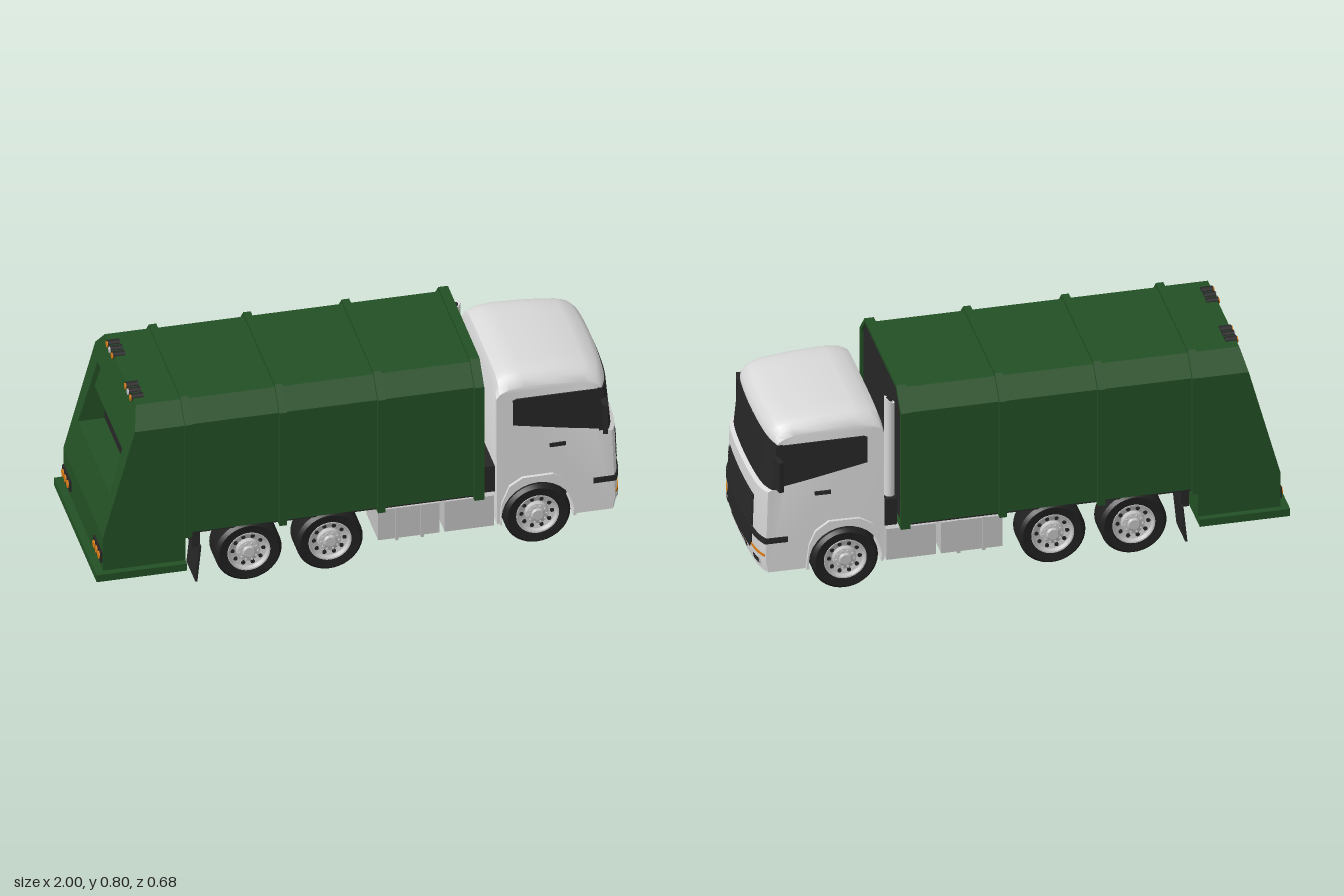
import * as THREE from 'three';
import { toCreasedNormals } from 'three/addons/utils/BufferGeometryUtils.js';

const mat = (name, color) => Object.assign(new THREE.MeshStandardMaterial({ color }), { name });

export function createModel() {
  const truck = new THREE.Group();
  truck.name = 'refuseTruck';
  const green = mat('bodyGreen', 0x235024), paint = mat('cabPaint', 0xd8d8d8), dark = mat('darkPlastic', 0x262626);
  const rubber = mat('tyreRubber', 0x202020), metal = mat('bareMetal', 0xc2c2c2), amber = mat('amberLamp', 0xd67a12);

  const add = (name, geo, m, parent = truck) => {
    const mesh = new THREE.Mesh(geo, m);
    mesh.name = name;
    parent.add(mesh);
    return mesh;
  };
  // box given by its min and max on each axis
  const box = (name, m, x0, x1, y0, y1, z0, z1) => add(name,
    new THREE.BoxGeometry(x1 - x0, y1 - y0, z1 - z0).translate((x0 + x1) / 2, (y0 + y1) / 2, (z0 + z1) / 2), m);
  const boxPair = (name, m, x0, x1, y0, y1, z0, z1) => {
    box(name + 'Left', m, x0, x1, y0, y1, -z1, -z0);
    box(name + 'Right', m, x0, x1, y0, y1, z0, z1);
  };
  const poly = pts => pts.map(p => new THREE.Vector2(...p));

  // ---- Refuse body: chamfered sections extruded along x ----
  const section = (w, y0, yc, y1, wt) => poly([[-w, y0], [w, y0], [w, yc], [wt, y1], [-wt, y1], [-w, yc]]);
  const alongX = (outer, x0, x1, hole) => {
    const s = new THREE.Shape(outer);
    if (hole) s.holes.push(new THREE.Path(hole));
    return new THREE.ExtrudeGeometry(s, { depth: x1 - x0, bevelEnabled: false }).rotateY(Math.PI / 2).translate(x0, 0, 0);
  };
  const inner = section(0.308, 0.245, 0.715, 0.787, 0.244);
  const outer = section(0.324, 0.232, 0.722, 0.802, 0.25);
  add('refuseBody', alongX(inner, -0.67, 0.43), green);
  for (const x of [-0.65, -0.295, 0.075]) add('bodyRib', alongX(outer, x - 0.014, x + 0.014), green);
  add('frontFrame', alongX(outer, 0.424, 0.46, inner), green);
  add('frontBulkhead', alongX(inner, 0.43, 0.45), dark);

  // ---- Tailgate with sloping back and hopper opening ----
  const slope = y => -0.83 - (0.79 - y) * 0.27;
  const slopeBack = (geo, thickness) => {
    const p = geo.attributes.position;
    for (let i = 0; i < p.count; i++)
      p.setX(i, p.getX(i) < 0.5 ? slope(p.getY(i)) : thickness ? slope(p.getY(i)) + thickness : -0.66);
    geo.computeVertexNormals();
    return geo;
  };
  const opening = poly([[-0.25, 0.42], [0.25, 0.42], [0.235, 0.68], [-0.235, 0.68]]);
  add('tailgate', slopeBack(alongX(section(0.313, 0.27, 0.715, 0.788, 0.245), 0, 1, opening)), green);
  const flap = poly([[-0.25, 0.57], [0.25, 0.57], [0.25, 0.69], [-0.25, 0.69]]);
  add('hopperFlap', slopeBack(alongX(flap, 0, 1), 0.04).translate(0.02, 0, 0), green);
  box('hopperInside', dark, -0.83, -0.7, 0.4, 0.69, -0.26, 0.26);
  box('tailgateBase', green, -0.97, -0.66, 0.12, 0.27, -0.313, 0.313);
  box('rearStep', green, -1, -0.66, 0.1, 0.13, -0.338, 0.338);
  box('rearStepUnderside', dark, -0.99, -0.67, 0.097, 0.1, -0.33, 0.33);
  const lamp = (name, x, y, z, r, len, m) =>
    add(name, new THREE.CylinderGeometry(r, r, len, 16).rotateZ(Math.PI / 2).translate(x, y, z), m);
  for (const s of [-1, 1]) {
    box('tailLampHousing', dark, -0.977, -0.965, 0.16, 0.205, s * 0.245 - 0.06, s * 0.245 + 0.06);
    for (let i = -1; i <= 1; i++) lamp('tailLamp', -0.978, 0.182, s * 0.245 + i * 0.038, 0.015, 0.008, amber);
    for (const [z, m] of [[0.105, amber], [0.145, metal], [0.185, amber]]) {
      lamp('workLampHousing', -0.812, 0.783, s * z, 0.016, 0.045, dark);
      lamp('workLamp', -0.836, 0.783, s * z, 0.012, 0.006, m);
    }
  }

  // ---- Chassis ----
  boxPair('chassisRail', dark, -0.68, 0.9, 0.17, 0.25, 0.08, 0.1);
  box('subframe', dark, -0.62, 0.07, 0.17, 0.25, -0.18, 0.18);
  box('bodyFloor', dark, -0.66, 0.44, 0.235, 0.246, -0.3, 0.3);
  for (const x of [0.16, 0.3, 0.49]) box('crossMember', dark, x - 0.015, x + 0.015, 0.18, 0.23, -0.1, 0.1);
  boxPair('cabMount', dark, 0.46, 0.52, 0.22, 0.33, 0.1, 0.26);
  box('mudflapBracket', dark, -0.63, -0.6, 0.165, 0.25, -0.29, 0.29);
  for (const s of [-1, 1]) {
    const f = add('mudflap', new THREE.BoxGeometry(0.008, 0.15, 0.14), dark);
    f.position.set(-0.61, 0.1, s * 0.235);
    f.rotation.z = -0.1;
    // Side tanks with straps
    const tank = (x0, x1, straps) => {
      box('sideTank', metal, x0, x1, 0.09, 0.22, s * 0.195 - 0.092, s * 0.195 + 0.092);
      for (const x of straps) box('tankStrap', metal, x - 0.006, x + 0.006, 0.084, 0.224, s * 0.195 - 0.096, s * 0.195 + 0.098);
    };
    tank(0.07, 0.3, [0.14, 0.235]);
    tank(0.32, 0.505, []);
  }
  // Exhaust stack with slanted top
  const pipe = new THREE.CylinderGeometry(0.02, 0.02, 0.5, 20).translate(0.48, 0.48, -0.223);
  const pp = pipe.attributes.position;
  for (let i = 0; i < pp.count; i++) if (pp.getY(i) > 0.5) pp.setY(i, 0.73 + (pp.getX(i) - 0.48) * 0.7);
  add('exhaustStack', pipe, paint);
  add('exhaustMouth', new THREE.CylinderGeometry(0.014, 0.014, 0.004, 16).rotateZ(0.61).translate(0.48, 0.731, -0.223), dark);

  // ---- Wheels ----
  const lathe = pts => toCreasedNormals(new THREE.LatheGeometry(poly(pts), 40).rotateX(Math.PI / 2), 0.5);
  const disc = (r, len, x, y, z) => new THREE.CylinderGeometry(r, r, len, 10).rotateX(Math.PI / 2).translate(x, y, z);
  const tyre = lathe([[0.08, -0.055], [0.113, -0.06], [0.125, -0.046], [0.125, 0.046], [0.113, 0.06], [0.08, 0.055]]);
  const rim = lathe([[0.082, 0.05], [0.08, 0.058], [0.075, 0.057], [0.069, 0.043], [0.045, 0.035], [0.042, 0.052], [0.025, 0.056], [0.02, 0.064], [0, 0.064]]);
  for (const x of [-0.42, -0.115, 0.665]) {
    add('axle', disc(0.025, 0.4, x, 0.126, 0), dark);
    if (x < 0.5) add('differential', new THREE.SphereGeometry(0.06, 16, 12).translate(x, 0.135, 0), dark);
    for (const s of [-1, 1]) {
      const w = new THREE.Group();
      w.name = 'wheel';
      w.position.set(x, 0.127, s * 0.25);
      if (s < 0) w.rotation.y = Math.PI;
      truck.add(w);
      add('tyre', tyre, rubber, w);
      add('wheelInside', disc(0.083, 0.06, 0, 0, -0.02), dark, w);
      add('rim', rim, metal, w);
      for (let i = 0; i < 10; i++) {
        const a = i * Math.PI / 5, c = Math.cos(a), d = Math.sin(a);
        add('rimHole', disc(0.008, 0.008, c * 0.058, d * 0.058, 0.038), dark, w);
        add('wheelNut', disc(0.004, 0.01, c * 0.034, d * 0.034, 0.056), metal, w);
      }
    }
  }

  // ---- Cab: side profiles extruded across z, then tapered, bowed and rounded ----
  const ss = THREE.MathUtils.smoothstep;
  const cabPart = (name, m, pts, z0, z1, steps = 32) => {
    const g = new THREE.ExtrudeGeometry(new THREE.Shape(poly(pts)), { depth: z1 - z0, steps, bevelEnabled: false }).translate(0, 0, z0);
    const p = g.attributes.position;
    for (let i = 0; i < p.count; i++) {
      const x = p.getX(i), y = p.getY(i), z = p.getZ(i), t = Math.min(1, Math.abs(z) / 0.29);
      p.setXYZ(i,
        x - ss(x, 0.82, 0.95) * (0.015 * t ** 2 + 0.02 * t ** 8),
        y - ss(y, 0.6, 0.72) * (0.015 * t ** 4 + 0.04 * t ** 12),
        z * (1 - 0.05 * (x - 0.51) - 0.09 * (y - 0.4)));
    }
    g.computeVertexNormals();
    return add(name, toCreasedNormals(g, 0.6), m);
  };
  const arch = [];
  for (let i = 0; i <= 16; i++) {
    const a = Math.PI * (1.06 - 1.12 * i / 16);
    arch.push([0.665 + 0.137 * Math.cos(a), 0.127 + 0.137 * Math.sin(a)]);
  }
  cabPart('cabShell', paint, [[0.515, 0.1], ...arch, [0.985, 0.1], [0.995, 0.15], [0.985, 0.433], [0.966, 0.442],
    [0.947, 0.64], [0.94, 0.668], [0.915, 0.694], [0.86, 0.71], [0.75, 0.722], [0.62, 0.727], [0.56, 0.72], [0.528, 0.7], [0.515, 0.66]], -0.29, 0.29);
  box('cabUnderside', dark, 0.53, 0.95, 0.096, 0.3, -0.185, 0.185);
  box('bumperUnderside', dark, 0.82, 0.95, 0.096, 0.12, -0.27, 0.27);
  cabPart('windscreen', dark, [[0.935, 0.442], [0.97, 0.442], [0.952, 0.635], [0.925, 0.635]], -0.2915, 0.2915);

  // Bands that follow the curved front
  const fx = y => 0.995 - Math.max(0, y - 0.15) * 0.035 - Math.max(0, 0.15 - y) * 0.2;
  const band = (name, m, y0, y1, z0, z1, off = 0.003, deep = 0.02, steps = 16) => cabPart(name, m,
    [[fx(y0) - deep, y0], [fx(y0) + off, y0], [fx(y1) + off, y1], [fx(y1) - deep, y1]], z0, z1, steps);
  band('grille', dark, 0.245, 0.375, -0.19, 0.19, 0.002);
  for (let i = 0; i < 8; i++) band('grilleSlat', dark, 0.252 + i * 0.0155, 0.261 + i * 0.0155, -0.185, 0.185, 0.007);
  band('bumperBar', dark, 0.22, 0.242, -0.294, 0.294, 0.006, 0.09, 32);
  band('lowerGrille', dark, 0.165, 0.22, -0.185, 0.185, 0.004);
  band('lowerGrilleEdge', dark, 0.152, 0.165, -0.172, 0.172, 0.004);
  band('intakeSlot', dark, 0.119, 0.135, -0.115, 0.115);
  band('intakeBar', paint, 0.125, 0.129, -0.105, 0.105, 0.005);
  for (const s of [-1, 1]) {
    const side = (name, m, pts, z0, z1) => cabPart(name, m, pts, Math.min(s * z0, s * z1), Math.max(s * z0, s * z1), 1);
    const front = (name, m, y0, y1, z0, z1, off) => band(name, m, y0, y1, Math.min(s * z0, s * z1), Math.max(s * z0, s * z1), off, 0.02, 8);
    front('amberStrip', amber, 0.165, 0.174, 0.187, 0.285);
    front('headlampSurround', metal, 0.12, 0.147, 0.2, 0.258, 0.002);
    front('headlamp', dark, 0.123, 0.144, 0.206, 0.25, 0.004);
    // Side windows, door handle and wheel arch trim
    side('sideWindow', dark, [[0.577, 0.515], [0.7, 0.49], [0.81, 0.468], [0.945, 0.45], [0.931, 0.63], [0.59, 0.636], [0.577, 0.625]], 0.286, 0.293);
    side('doorHandle', dark, [[0.715, 0.402], [0.775, 0.402], [0.775, 0.416], [0.715, 0.416]], 0.286, 0.296);
    side('wheelArch', paint, [[0.524, 0.1], ...arch, [0.812, 0.1], [0.8, 0.2], [0.775, 0.255], [0.725, 0.29], [0.61, 0.29], [0.56, 0.26], [0.53, 0.19]], 0.26, 0.302);
    // Mirrors
    const mirror = add('mirror', new THREE.BoxGeometry(0.018, 0.125, 0.052), dark);
    mirror.position.set(0.918, 0.522, s * 0.314);
    mirror.rotation.y = -s * 0.25;
    box('mirrorArm', dark, 0.908, 0.92, 0.565, 0.575, s * 0.295 - 0.025, s * 0.295 + 0.025);
  }
  return truck;
}
